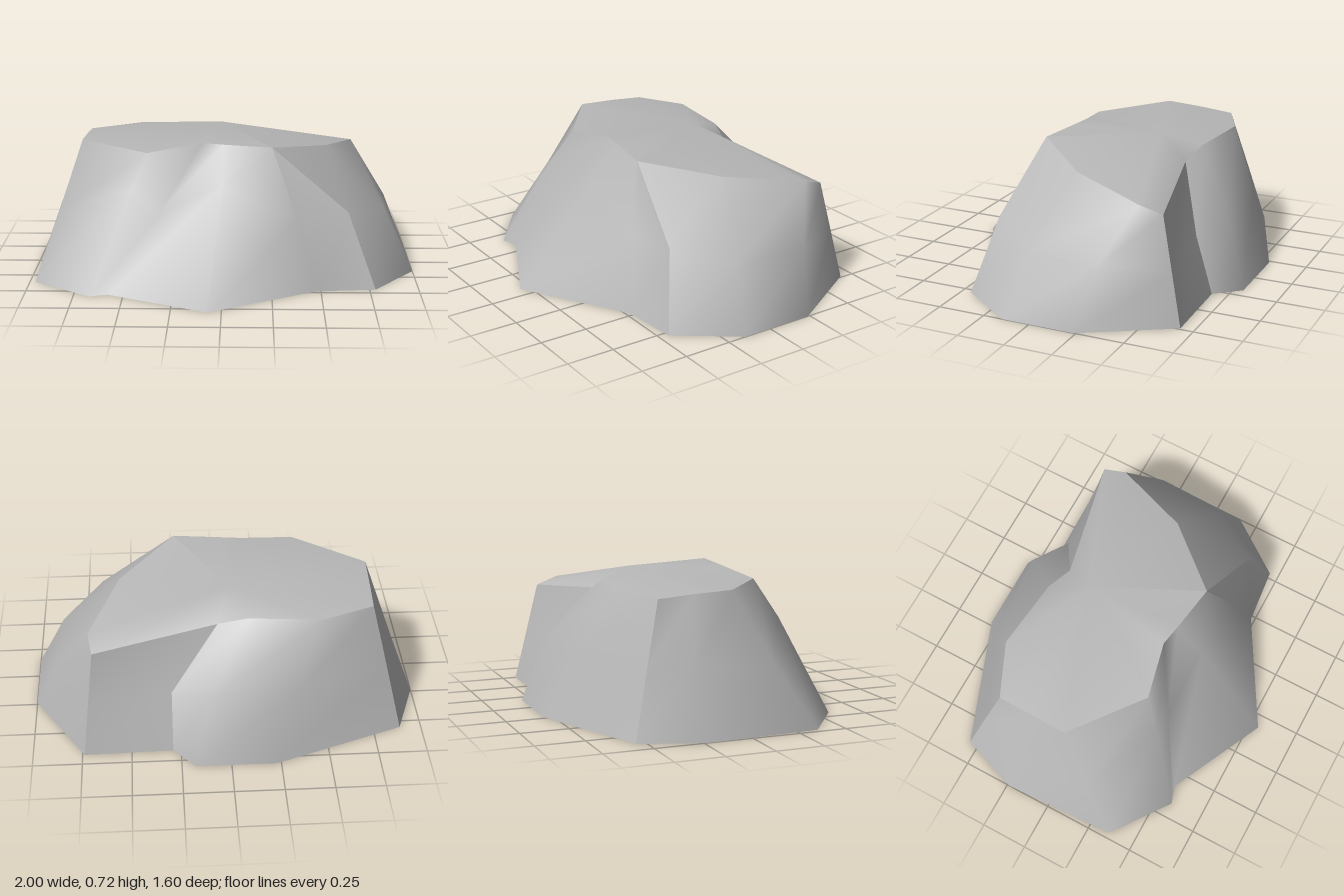
import * as THREE from 'three';

const stone = new THREE.MeshStandardMaterial({ color: 0xb8b8b8, side: THREE.DoubleSide });
stone.name = 'grey stone';

// Indexed mesh with smooth normals; separate meshes meet at hard edges
function facet(name, points, index) {
  const geo = new THREE.BufferGeometry();
  geo.setAttribute('position', new THREE.Float32BufferAttribute(points.flat(), 3));
  geo.setIndex(index);
  geo.computeVertexNormals();
  const mesh = new THREE.Mesh(geo, stone);
  mesh.name = name;
  return mesh;
}

// Wall lofted through columns of base, middle and top points
function wall(name, columns) {
  const rows = columns[0].length;
  const index = [];
  for (let i = 0; i < columns.length - 1; i++) {
    for (let j = 0; j < rows - 1; j++) {
      const a = i * rows + j, b = a + rows;
      index.push(b, a, a + 1, b, a + 1, b + 1);
    }
  }
  return facet(name, columns.flat(), index);
}

export function createModel() {
  const rock = new THREE.Group();
  rock.name = 'rock';

  // Columns shared at the hard vertical edges
  const frontCorner = [[0.78, 0, 0.45], [0.64, 0.38, 0.35], [0.25, 0.7, 0.28]];
  const backCorner = [[-0.89, 0, -0.55], [-0.815, 0.33, -0.465], [-0.74, 0.65, -0.38]];
  const lobeEnd = [[0.29, 0, -0.67], [0.29, 0.3, -0.58], [0.05, 0.6, -0.42]];
  const sideCorner = [[0.74, 0, -0.68], [0.71, 0.27, -0.62], [0.68, 0.54, -0.56]];

  // Front and far side, with a central spur and a gully
  const front = [
    frontCorner,
    [[0.48, 0, 0.48], [0.38, 0.35, 0.39], [0.25, 0.7, 0.28]],
    [[-0.07, 0, 0.8], [0, 0.53, 0.39], [0, 0.706, 0.24]],
    [[-0.58, 0, 0.55], [-0.33, 0.37, 0.37], [-0.11, 0.71, 0.22]],
    [[-0.67, 0, 0.58], [-0.48, 0.48, 0.38], [-0.39, 0.67, 0.28]],
    [[-0.97, 0, 0.36], [-0.86, 0.33, 0.17], [-0.75, 0.675, 0]],
    [[-1, 0, -0.24], [-0.88, 0.33, -0.25], [-0.745, 0.665, -0.2]],
    backCorner,
  ];

  // Rounded lobe at the back
  const lobe = [
    backCorner,
    [[-0.23, 0, -0.8], [-0.35, 0.36, -0.66], [-0.47, 0.66, -0.5]],
    [[0.18, 0, -0.8], [0.1, 0.36, -0.68], [-0.1, 0.655, -0.46]],
    lobeEnd,
  ];

  // Side wall
  const side = [
    sideCorner,
    [[1, 0, -0.24], [0.88, 0.3, -0.3], [0.7, 0.58, -0.44]],
    [[1, 0, 0.15], [0.85, 0.32, 0.08], [0.54, 0.64, -0.04]],
    frontCorner,
  ];

  rock.add(
    wall('frontWall', front),
    wall('backLobe', lobe),
    wall('notchWall', [lobeEnd, sideCorner]),
    wall('sideWall', side),
  );

  // Crown: a fan over the tops of all walls
  const ring = [...front, ...lobe.slice(1), ...side.slice(0, -1)].map((c) => c[2]);
  const fan = [];
  for (let i = 0; i < ring.length; i++) fan.push(0, 1 + ((i + 1) % ring.length), 1 + i);
  rock.add(facet('crown', [[-0.02, 0.718, -0.26], ...ring], fan));

  // Small ledge under the notch; the rest of the base is open
  rock.add(facet('underLedge',
    [[0.29, 0, -0.67], [0.62, 0, -0.67], [0.32, 0, -0.59], [0.06, 0, -0.8], [0.18, 0, -0.8]],
    [0, 1, 2, 0, 2, 3, 0, 3, 4]));

  return rock;
}
